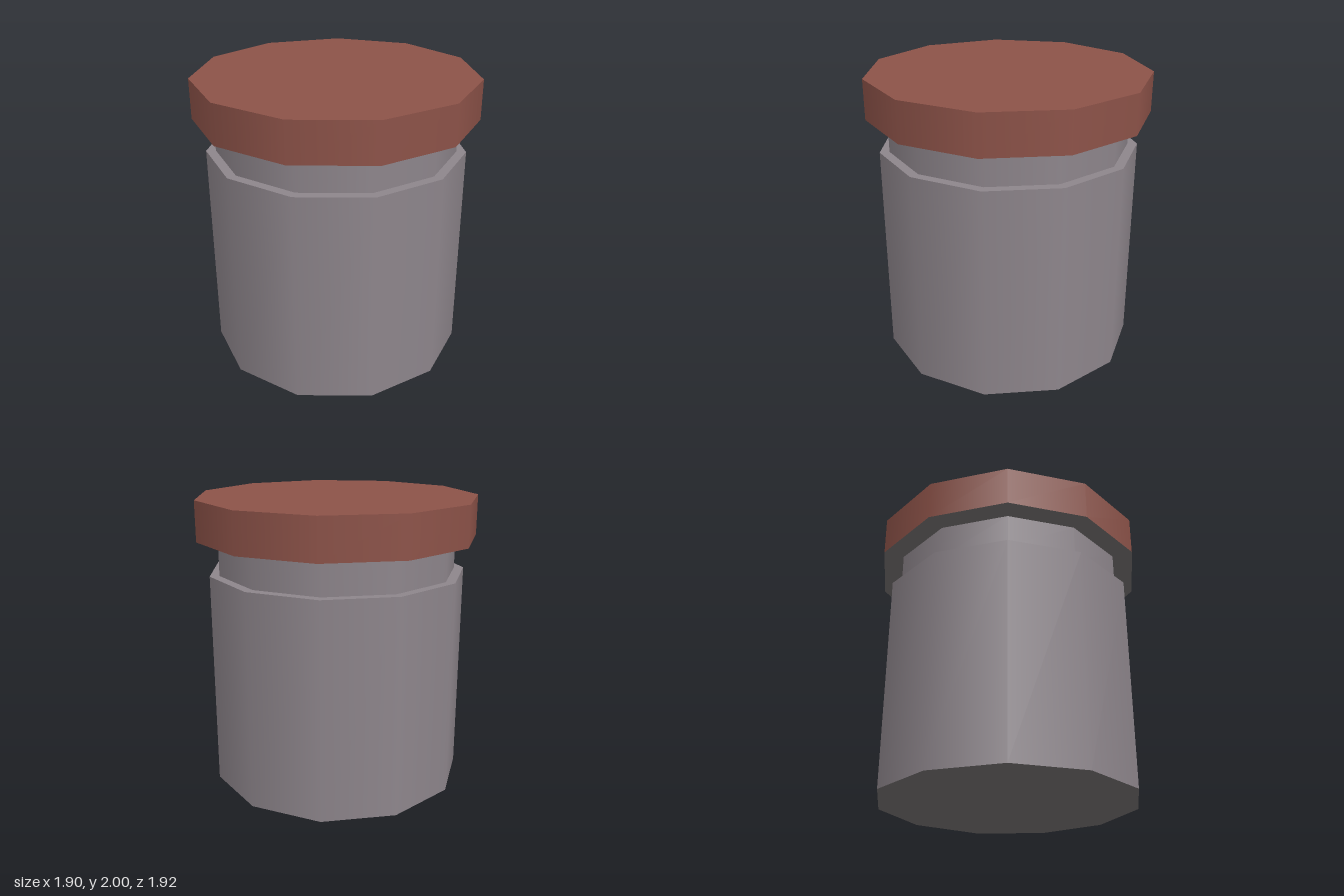
import * as THREE from 'three';

const SIDES = 11;
const CENTRE_X = -0.02; // an odd-sided prism sits off the middle of its bounds

function material(name, color) {
  const m = new THREE.MeshStandardMaterial({ color });
  m.name = name;
  return m;
}

export function createModel() {
  const grey = material('mauveGrey', 0x8d858b);
  const brown = material('redBrown', 0x8c5248);
  const under = material('undersideGrey', 0x706d6c);

  const jar = new THREE.Group();
  jar.name = 'jar';

  // Smooth-sided prism with one corner pointing to +x
  function prism(name, radius, y0, y1, materials, open = false) {
    const geo = new THREE.CylinderGeometry(radius, radius, y1 - y0, SIDES, 1, open, Math.PI / 2);
    const mesh = new THREE.Mesh(geo, materials);
    mesh.name = name;
    mesh.position.set(CENTRE_X, (y0 + y1) / 2, 0);
    jar.add(mesh);
  }

  // Materials are in the order side, top, bottom
  prism('body', 0.893, 0, 1.49, [grey, grey, under]);
  prism('neck', 0.827, 1.49, 1.725, grey, true);
  prism('lid', 0.97, 1.725, 2, [brown, brown, under]);

  return jar;
}
